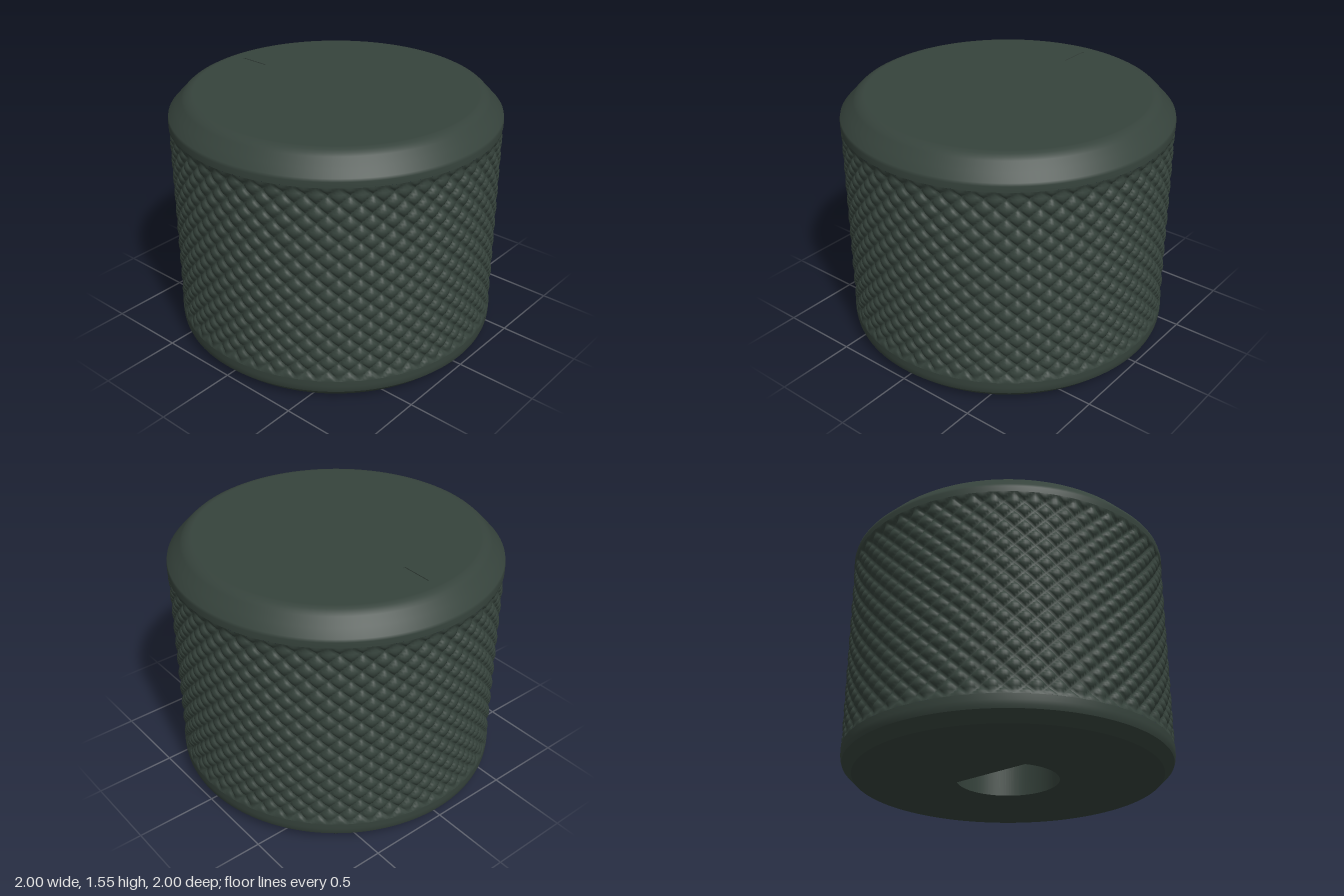
import * as THREE from 'three';

const HEIGHT = 1.55;
const KNURL_LOW = 0.14, KNURL_HIGH = 1.38;

// Band of raised diamonds between two families of crossing spiral grooves
function knurlGeometry() {
  const around = 52, rows = 11, sub = 8, depth = 0.025;
  const cols = around * sub, steps = rows * sub;
  const positions = [], index = [];
  for (let j = 0; j <= steps; j++) {
    const v = j / sub;
    const y = KNURL_LOW + (KNURL_HIGH - KNURL_LOW) * v / rows;
    // Grooves run out into the smooth bands at both ends
    const cut = depth * THREE.MathUtils.smoothstep(Math.min(v, rows - v), 0, 0.4);
    for (let i = 0; i < cols; i++) {
      const u = i / sub;
      const pillow = Math.sqrt(Math.abs(Math.sin(Math.PI * (u + v)) * Math.sin(Math.PI * (u - v))));
      const r = 1 - cut * (1 - pillow);
      const angle = (i / cols) * Math.PI * 2;
      positions.push(r * Math.sin(angle), y, r * Math.cos(angle));
    }
  }
  for (let j = 0; j < steps; j++) {
    for (let i = 0; i < cols; i++) {
      const next = (i + 1) % cols;
      const a = j * cols + i, b = j * cols + next;
      const c = b + cols, d = a + cols;
      // Follow the rising grooves with one diagonal, the falling ones with the other
      if ((i - j + cols) % sub === 0) index.push(a, b, c, a, c, d);
      else index.push(a, b, d, b, c, d);
    }
  }
  const geometry = new THREE.BufferGeometry();
  geometry.setAttribute('position', new THREE.Float32BufferAttribute(positions, 3));
  geometry.setIndex(index);
  geometry.computeVertexNormals();
  return geometry;
}

// Smooth turned surface; profile runs from bottom to top
function turned(profile) {
  return new THREE.LatheGeometry(profile.map(([r, y]) => new THREE.Vector2(r, y)), 128);
}

// Flat disc with a cut-out; shape y becomes z, and mirroring in x turns it upwards
function disc(radius, hole, up) {
  const shape = new THREE.Shape();
  shape.absarc(0, 0, radius, 0, Math.PI * 2);
  shape.holes.push(hole);
  const geometry = new THREE.ShapeGeometry(shape, 128);
  geometry.rotateX(Math.PI / 2);
  if (up) geometry.scale(-1, 1, 1);
  geometry.computeVertexNormals();
  return geometry;
}

// Inward-facing recess, made by mirroring an extrusion
function pocket(shape, depth, up) {
  const geometry = new THREE.ExtrudeGeometry(shape, { depth, bevelEnabled: false, curveSegments: 64 });
  geometry.rotateX(Math.PI / 2);
  if (up) geometry.scale(1, -1, 1);
  else geometry.scale(-1, 1, 1);
  geometry.computeVertexNormals();
  return geometry;
}

export function createModel() {
  const knob = new THREE.Group();
  knob.name = 'knurledKnob';
  const metal = new THREE.MeshStandardMaterial({ color: 0x36433c });
  metal.name = 'darkGreenGrey';

  const add = (name, geometry, y = 0) => {
    const mesh = new THREE.Mesh(geometry, metal);
    mesh.name = name;
    mesh.position.y = y;
    knob.add(mesh);
  };

  // D-shaped shaft hole with its flat towards the back
  const shaft = new THREE.Shape();
  const flat = Math.asin(0.165 / 0.31);
  shaft.absarc(0, 0, 0.31, -flat, Math.PI + flat, false);
  shaft.closePath();

  // Fine pointer groove near the back of the top
  const slot = new THREE.Shape([
    [-0.008, -0.78], [0.008, -0.78], [0.008, -0.59], [-0.008, -0.59],
  ].map(([x, z]) => new THREE.Vector2(x, z)));

  add('knurledGrip', knurlGeometry());
  add('lowerChamfer', turned([[0.93, 0], [0.99, 0.06]]));
  add('lowerBand', turned([[0.99, 0.06], [0.997, 0.08], [1, 0.105], [1, KNURL_LOW]]));
  add('upperShoulder', turned([
    [1, KNURL_HIGH], [1, 1.415], [0.996, 1.433], [0.955, 1.477], [0.915, 1.52],
    [0.9, 1.533], [0.88, 1.544], [0.86, HEIGHT], [0.85, HEIGHT],
  ]));
  add('topFace', disc(0.85, slot, true), HEIGHT);
  add('pointerGroove', pocket(slot, 0.005, false), HEIGHT);
  add('bottomFace', disc(0.93, shaft, false));
  add('shaftHole', pocket(shaft, 1.1, true));
  return knob;
}
